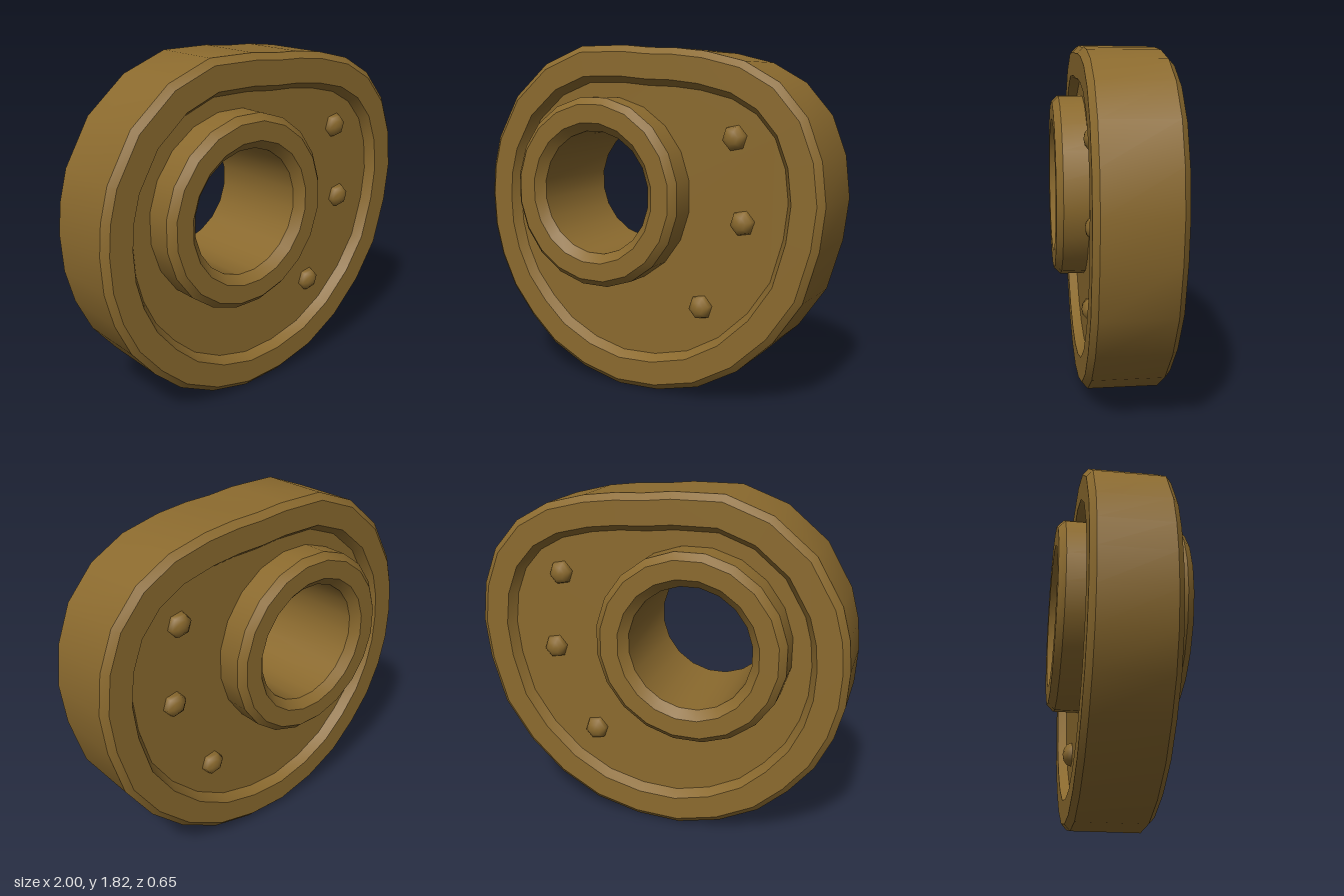
import * as THREE from 'three';
import { toCreasedNormals } from 'three/addons/utils/BufferGeometryUtils.js';

const bronze = new THREE.MeshStandardMaterial({ color: 0x8b6a2e });
bronze.name = 'bronze';

const HUB = { x: -0.215, y: 1.06 };
const FLOOR_Z = 0.16;

// Cam outline, clockwise from the top left, then turned counter-clockwise
const outline = [
  [-0.355, 1.82], [-0.09, 1.82], [0.06, 1.805], [0.205, 1.8], [0.375, 1.78], [0.58, 1.73], [0.76, 1.63],
  [0.9, 1.47], [0.975, 1.275], [1, 1.065], [0.975, 0.85], [0.9, 0.59], [0.755, 0.375], [0.565, 0.195],
  [0.345, 0.07], [0.105, 0.01], [-0.135, 0], [-0.365, 0.055], [-0.575, 0.16], [-0.73, 0.3], [-0.86, 0.46],
  [-0.945, 0.64], [-0.99, 0.815], [-1, 1], [-0.985, 1.16], [-0.94, 1.325], [-0.805, 1.555], [-0.595, 1.73],
].map(([x, y]) => new THREE.Vector2(x, y)).reverse();

// Moves every corner of the outline inward by a constant distance
function inset(distance) {
  const n = outline.length;
  return outline.map((p, i) => {
    const a = p.clone().sub(outline[(i + n - 1) % n]).normalize();
    const b = outline[(i + 1) % n].clone().sub(p).normalize();
    const miter = new THREE.Vector2(-a.y - b.y, a.x + b.x).normalize();
    return p.clone().addScaledVector(miter, distance / (-a.y * miter.x + a.x * miter.y));
  });
}

function addMesh(parent, name, geometry) {
  const mesh = new THREE.Mesh(geometry, bronze);
  mesh.name = name;
  parent.add(mesh);
  return mesh;
}

// Bevelled rim: loops from the front recess, over the edge, to the back recess
function rimGeometry() {
  const half = [[0.19, FLOOR_Z], [0.157, 0.21], [0.033, 0.21], [0, 0.18]];
  const profile = [...half, ...half.slice().reverse().map(([d, z]) => [d, -z])];
  const n = outline.length;
  const positions = [], indices = [];
  profile.forEach(([d, z], j) => {
    inset(d).forEach((p, i) => {
      positions.push(p.x, p.y, z);
      if (j === profile.length - 1) return;
      const a = j * n + i, d2 = j * n + (i + 1) % n;
      indices.push(a, a + n, d2 + n, a, d2 + n, d2);
    });
  });
  const geometry = new THREE.BufferGeometry();
  geometry.setAttribute('position', new THREE.Float32BufferAttribute(positions, 3));
  geometry.setIndex(indices);
  return toCreasedNormals(geometry, 0.6);
}

// Recessed face with a hole hidden beneath the hub
function faceGeometry(side) {
  const shape = new THREE.Shape(inset(0.19));
  shape.holes.push(new THREE.Path().absarc(HUB.x, HUB.y, 0.43, 0, Math.PI * 2, true));
  const geometry = new THREE.ShapeGeometry(shape, 20);
  if (side < 0) {
    geometry.scale(-1, 1, 1).rotateY(Math.PI);
    const index = geometry.index;
    for (let i = 0; i < index.count; i += 3) {
      const b = index.getX(i + 1);
      index.setX(i + 1, index.getX(i + 2));
      index.setX(i + 2, b);
    }
    geometry.computeVertexNormals();
  }
  return geometry.translate(0, 0, side * FLOOR_Z);
}

export function createModel() {
  const model = new THREE.Group();
  model.name = 'cam';
  addMesh(model, 'rim', rimGeometry());

  // Hub sleeve, chamfered inside and out, with an open bore
  const profile = [
    [0.5, -0.29], [0.5, 0.29], [0.465, 0.325], [0.37, 0.325], [0.325, 0.28],
    [0.325, -0.28], [0.37, -0.325], [0.465, -0.325], [0.5, -0.29],
  ].map(([r, z]) => new THREE.Vector2(r, z));
  const hub = toCreasedNormals(new THREE.LatheGeometry(profile, 20, Math.PI / 20), 0.6);
  hub.rotateX(Math.PI / 2).translate(HUB.x, HUB.y, 0);
  addMesh(model, 'hub', hub);

  // Recessed faces and their domed studs
  for (const side of [1, -1]) {
    const label = side > 0 ? 'front' : 'back';
    addMesh(model, label + 'Face', faceGeometry(side));
    for (const [x, y] of [[0.527, 1.365], [0.575, 0.95], [0.35, 0.495]]) {
      const dome = new THREE.SphereGeometry(0.066, 6, 3, 0, Math.PI * 2, 0, Math.PI / 2);
      dome.scale(1, 0.75, 1).rotateY(0.2).rotateX(side * Math.PI / 2).translate(x, y, side * FLOOR_Z);
      addMesh(model, label + 'Stud', dome);
    }
  }
  return model;
}
